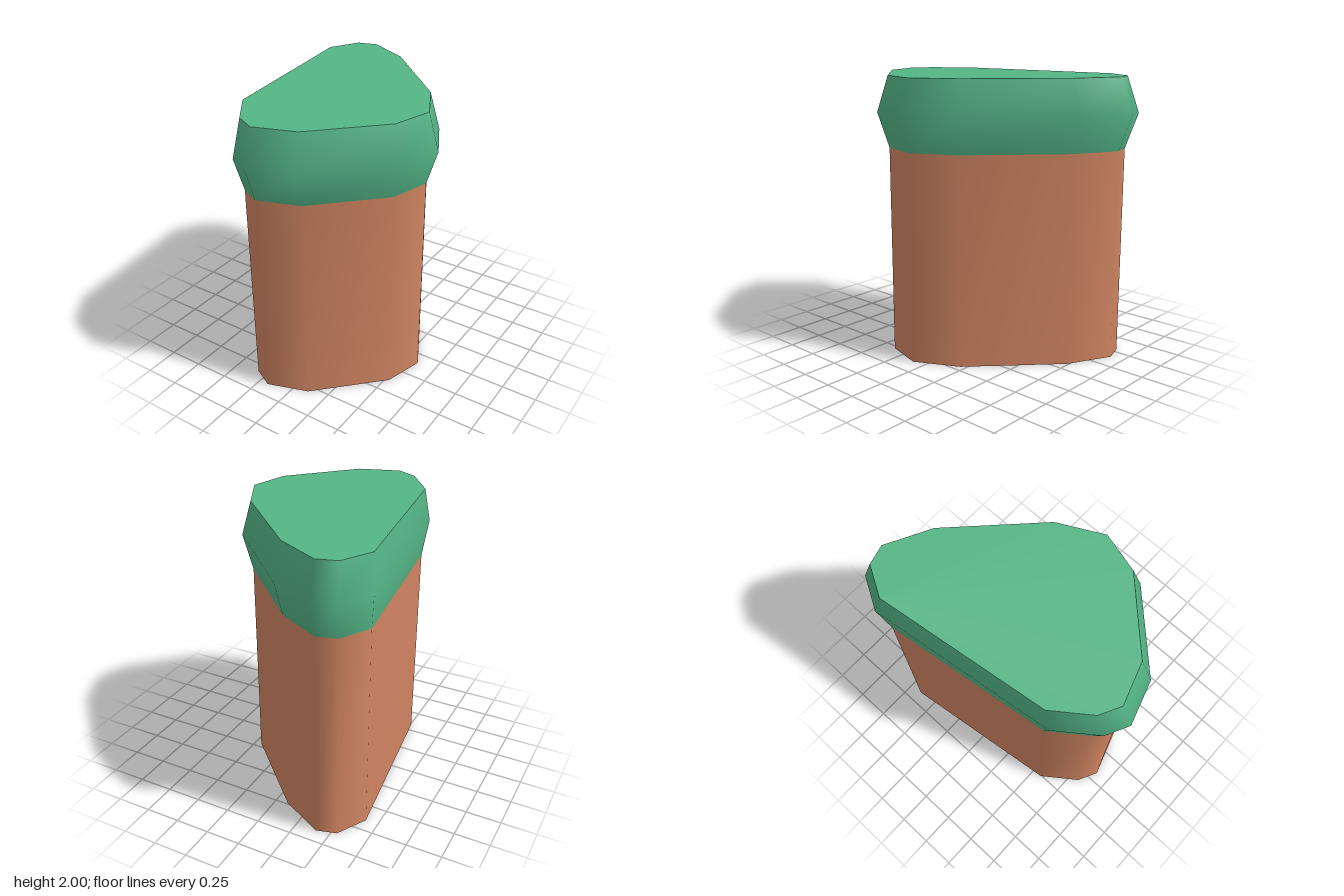
import * as THREE from 'three';

// Outlines seen from above as [x, z], running from +x towards +z
const inner = [
  [-0.66, -0.65], [-0.54, -0.86], [-0.40, -0.90], [-0.09, -0.74], [0.45, -0.21], [0.61, 0.10],
  [0.53, 0.38], [0.11, 0.80], [-0.18, 0.895], [-0.325, 0.82], [-0.505, 0.575],
];
const outer = [
  [-0.697, -0.715], [-0.565, -0.945], [-0.42, -0.988], [-0.08, -0.82], [0.52, -0.225], [0.693, 0.11],
  [0.60, 0.42], [0.135, 0.89], [-0.17, 0.985], [-0.33, 0.905], [-0.53, 0.635],
];

// Smooth wall through stacked rings, with flat caps that keep their own vertices
function loft(rings, capBottom, capTop) {
  const positions = [];
  const index = [];
  const n = rings[0].outline.length;
  const addRing = ({ outline, y }) => {
    const start = positions.length / 3;
    outline.forEach(([x, z]) => positions.push(x, y, z));
    return start;
  };
  rings.forEach(addRing);
  for (let r = 0; r < rings.length - 1; r++) {
    for (let i = 0; i < n; i++) {
      const a = r * n + i;
      const b = r * n + (i + 1) % n;
      index.push(a, a + n, b, b, a + n, b + n);
    }
  }
  if (capBottom) {
    const s = addRing(rings[0]);
    for (let i = 1; i < n - 1; i++) index.push(s, s + i, s + i + 1);
  }
  if (capTop) {
    const s = addRing(rings[rings.length - 1]);
    for (let i = 1; i < n - 1; i++) index.push(s, s + i + 1, s + i);
  }
  const geometry = new THREE.BufferGeometry();
  geometry.setAttribute('position', new THREE.Float32BufferAttribute(positions, 3));
  geometry.setIndex(index);
  geometry.computeVertexNormals();
  return geometry;
}

export function createModel() {
  const group = new THREE.Group();
  group.name = 'grassTopPillar';

  const earth = new THREE.MeshStandardMaterial({ color: 0xd08461 });
  earth.name = 'earth';
  const grass = new THREE.MeshStandardMaterial({ color: 0x54b586 });
  grass.name = 'grass';

  // Straight earth body
  const body = new THREE.Mesh(
    loft([{ outline: inner, y: 0 }, { outline: inner, y: 1.5 }], true, false), earth);
  body.name = 'earthBody';

  // Bulging grass layer with a flat top
  const top = new THREE.Mesh(
    loft([{ outline: inner, y: 1.5 }, { outline: outer, y: 1.75 }, { outline: inner, y: 2 }], false, true), grass);
  top.name = 'grassTop';

  group.add(body, top);
  return group;
}
